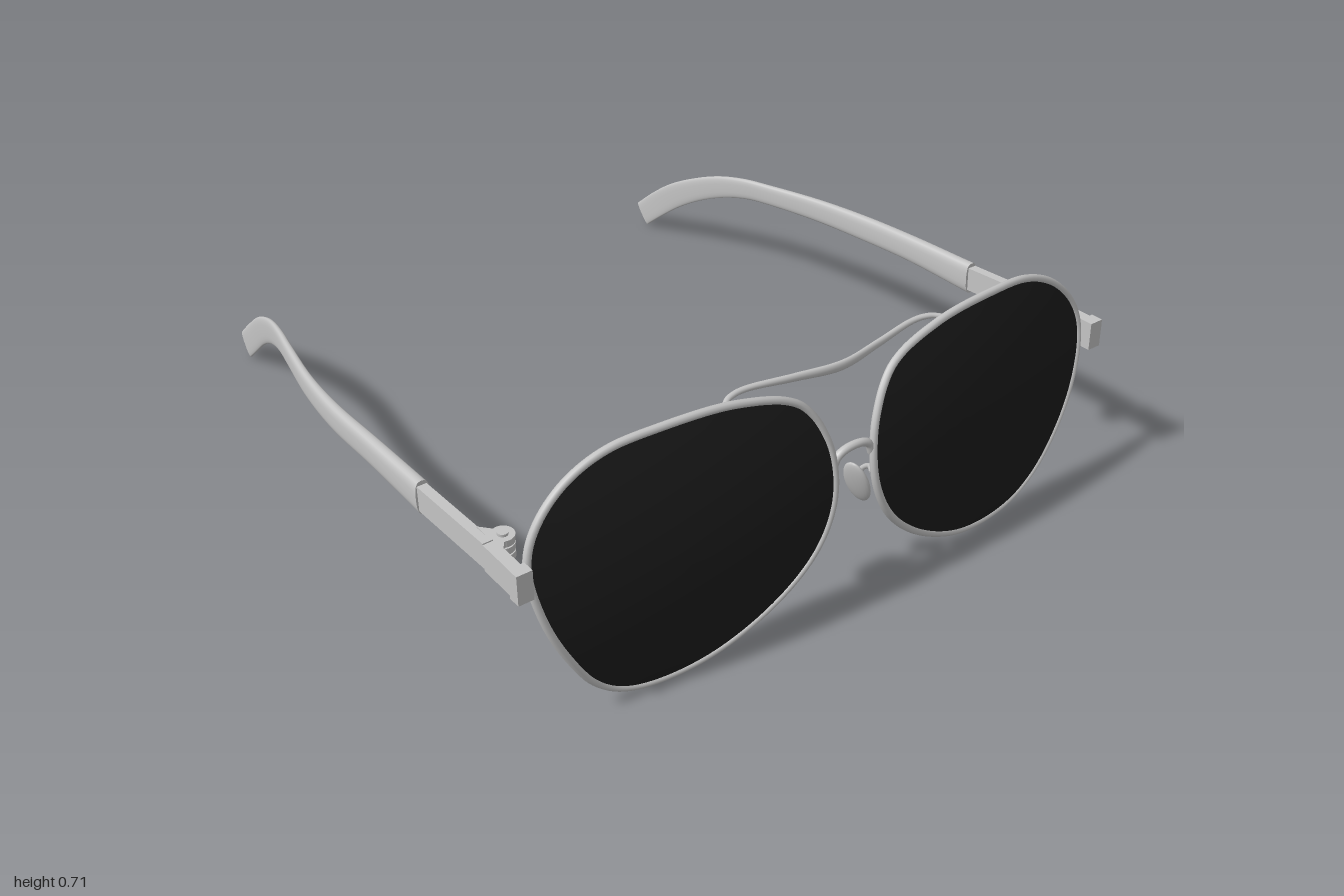
import * as THREE from 'three';

const V = (x, y, z) => new THREE.Vector3(x, y, z);

// Curved, tilted surface that lenses and rims follow
const faceZ = (x, y) => {
  const u = x - 0.55;
  return 0.948 + 0.196 * y - 0.409 * y * y - 0.129 * u - 0.159 * u * u;
};

// Teardrop outline of the left lens, counter-clockwise from the front
const outline = new THREE.CatmullRomCurve3([
  [0.885, 0.48], [0.855, 0.565], [0.78, 0.645], [0.67, 0.698], [0.53, 0.715], [0.305, 0.708],
  [0.14, 0.655], [0.075, 0.56], [0.053, 0.455], [0.063, 0.35], [0.115, 0.24], [0.23, 0.13],
  [0.405, 0.037], [0.555, 0.012], [0.655, 0.028], [0.73, 0.08], [0.80, 0.185], [0.862, 0.33],
].map(([x, y]) => V(0.48 + (x - 0.48) * 0.977, 0.37 + (y - 0.37) * 0.975, 0)), true);

function rimPoints(n) {
  return outline.getSpacedPoints(n).slice(0, n).map(p => V(p.x, p.y, faceZ(p.x, p.y)));
}

// Thin domed lens made of concentric rings, front and back
function lensGeometry() {
  const seg = 96, rings = 10, pos = [], idx = [], edge = rimPoints(seg);
  for (const back of [0, 1]) {
    const base = pos.length / 3;
    for (let r = 0; r <= rings; r++) {
      for (const p of edge) {
        const x = 0.48 + (p.x - 0.48) * r / rings, y = 0.37 + (p.y - 0.37) * r / rings;
        pos.push(x, y, faceZ(x, y) + (back ? -0.005 : 0.005));
      }
    }
    for (let r = 0; r < rings; r++) for (let j = 0; j < seg; j++) {
      const a = base + r * seg + j, b = base + r * seg + (j + 1) % seg, c = a + seg, d = b + seg;
      const tris = r ? [a, c, d, a, d, b] : [a, c, d];
      if (back) tris.reverse();
      idx.push(...tris);
    }
  }
  return finish(pos, idx);
}

function finish(pos, idx) {
  const g = new THREE.BufferGeometry();
  g.setAttribute('position', new THREE.Float32BufferAttribute(pos, 3));
  g.setIndex(idx);
  g.computeVertexNormals();
  return g;
}

// Sweep a rounded section along stations of [x, y, z, halfWidth, halfHeight]
function sweep(stations, power, steps = 48, seg = 24) {
  const path = new THREE.CatmullRomCurve3(stations.map(s => V(s[0], s[1], s[2])), false, 'catmullrom');
  const size = new THREE.CatmullRomCurve3(stations.map(s => V(s[3], s[4], 0)), false, 'catmullrom');
  const pos = [], idx = [];
  const soft = v => Math.sign(v) * Math.abs(v) ** power;
  for (let i = 0; i <= steps; i++) {
    const p = path.getPoint(i / steps), s = size.getPoint(i / steps), t = path.getTangent(i / steps);
    const side = V(0, 1, 0).cross(t).normalize(), up = t.clone().cross(side);
    for (let j = 0; j < seg; j++) {
      const a = j / seg * Math.PI * 2;
      const q = p.clone().addScaledVector(side, s.x * soft(Math.cos(a))).addScaledVector(up, s.y * soft(Math.sin(a)));
      pos.push(q.x, q.y, q.z);
    }
  }
  for (let i = 0; i < steps; i++) for (let j = 0; j < seg; j++) {
    const a = i * seg + j, b = i * seg + (j + 1) % seg;
    idx.push(a, b, a + seg, b, b + seg, a + seg);
  }
  // Flat end caps with their own vertices
  for (const end of [0, 1]) {
    const ring = pos.slice(end * steps * seg * 3, (end * steps + 1) * seg * 3), base = pos.length / 3;
    pos.push(...ring);
    for (let j = 1; j < seg - 1; j++) idx.push(base, base + (end ? j : j + 1), base + (end ? j + 1 : j));
  }
  return finish(pos, idx);
}

// Box running along z between two points of the side profile
function bar(x, z0, y0, z1, y1, w, h) {
  const g = new THREE.BoxGeometry(w, h, Math.hypot(z0 - z1, y0 - y1));
  g.rotateX(-Math.atan2(y0 - y1, z0 - z1));
  return g.translate(x, (y0 + y1) / 2, (z0 + z1) / 2);
}

// Triangular hinge leaf with a rounded knuckle, lying flat
function hingeLeaf(y, h) {
  const s = new THREE.Shape();
  s.moveTo(0.897, 0.71);
  s.lineTo(0.897, 0.825);
  s.lineTo(0.875, 0.793);
  s.absarc(0.862, 0.765, 0.029, Math.PI * 0.4, Math.PI * 1.6, false);
  s.closePath();
  const g = new THREE.ExtrudeGeometry(s, { depth: h, bevelEnabled: false, curveSegments: 16 });
  return g.rotateX(Math.PI / 2).translate(0, y + h, 0);
}

const tube = (pts, r, n = 24) => new THREE.TubeGeometry(new THREE.CatmullRomCurve3(pts), n, r, 10);

// Mirror a geometry across x = 0, keeping faces outward
function mirrored(src) {
  const g = src.clone().scale(-1, 1, 1);
  const n = g.index ? g.index.count : g.attributes.position.count;
  const idx = Array.from({ length: n }, (_, i) => (g.index ? g.index.getX(i) : i));
  for (let i = 0; i < n; i += 3) [idx[i + 1], idx[i + 2]] = [idx[i + 2], idx[i + 1]];
  g.setIndex(idx);
  return g;
}

export function createModel() {
  const model = new THREE.Group();
  model.name = 'sunglasses';
  const metal = new THREE.MeshStandardMaterial({ color: 0xc4c4c4 });
  metal.name = 'silver grey';
  const dark = new THREE.MeshStandardMaterial({ color: 0x1b1b1b });
  dark.name = 'lens black';

  const add = (name, geo, mat = metal) => {
    const m = new THREE.Mesh(geo, mat);
    m.name = name;
    model.add(m);
  };
  const addPair = (name, geo, mat) => {
    add('left' + name, geo, mat);
    add('right' + name, mirrored(geo), mat);
  };

  // Lenses and rims
  addPair('Lens', lensGeometry(), dark);
  const rim = new THREE.CatmullRomCurve3(rimPoints(48), true);
  addPair('Rim', new THREE.TubeGeometry(rim, 144, 0.0105, 10, true));

  // Brow bar and nose bridge
  const half = [[0.345, 0.7, 0.897, 0.007, 0.006], [0.31, 0.704, 0.877, 0.008, 0.007],
    [0.25, 0.703, 0.872, 0.008, 0.008], [0.13, 0.697, 0.892, 0.008, 0.011]];
  const flip = half.map(([x, ...rest]) => [-x, ...rest]);
  add('browBar', sweep([...flip, [0, 0.692, 0.91, 0.008, 0.014], ...half.reverse()], 1, 64, 16));
  add('bridge', tube([V(-0.062, 0.45, 0.972), V(-0.05, 0.48, 0.972), V(-0.025, 0.493, 0.972),
    V(0.025, 0.493, 0.972), V(0.05, 0.48, 0.972), V(0.062, 0.45, 0.972)], 0.011));

  // Nose pads on short wires
  const pad = new THREE.SphereGeometry(1, 24, 16).scale(0.013, 0.072, 0.036);
  pad.rotateY(0.35).rotateZ(0.33).translate(0.082, 0.312, 0.912);
  addPair('NosePad', pad);
  addPair('PadArm', tube([V(0.083, 0.32, 0.912), V(0.1, 0.34, 0.905), V(0.1, 0.365, 0.93), V(0.068, 0.385, 0.975)], 0.007));

  // End pieces, hinges and metal arms
  addPair('EndPiece', bar(0.905, 0.93, 0.461, 0.895, 0.459, 0.042, 0.08));
  addPair('FrontArm', bar(0.907, 0.896, 0.459, 0.782, 0.453, 0.032, 0.072));
  addPair('MetalArm', bar(0.906, 0.778, 0.452, 0.44, 0.414, 0.027, 0.07));
  addPair('HingeUpperLeaf', hingeLeaf(0.466, 0.018));
  addPair('HingeMiddleLeaf', hingeLeaf(0.444, 0.018));
  addPair('HingeLowerLeaf', hingeLeaf(0.422, 0.018));
  addPair('HingeScrew', new THREE.CylinderGeometry(0.014, 0.014, 0.076, 16).translate(0.862, 0.453, 0.765));

  // Temple sleeves, curving inward and down behind the ear
  addPair('TempleSleeve', sweep([
    [0.905, 0.417, 0.468, 0.02, 0.047], [0.906, 0.4, 0.22, 0.019, 0.041], [0.904, 0.376, 0, 0.017, 0.04],
    [0.887, 0.356, -0.2, 0.014, 0.037], [0.852, 0.335, -0.4, 0.012, 0.034], [0.832, 0.32, -0.5, 0.011, 0.035],
    [0.812, 0.29, -0.6, 0.01, 0.038], [0.793, 0.244, -0.7, 0.009, 0.04], [0.777, 0.184, -0.8, 0.008, 0.043],
    [0.767, 0.114, -0.89, 0.007, 0.044], [0.763, 0.042, -0.973, 0.007, 0.043],
  ], 0.7, 64));

  return model;
}
